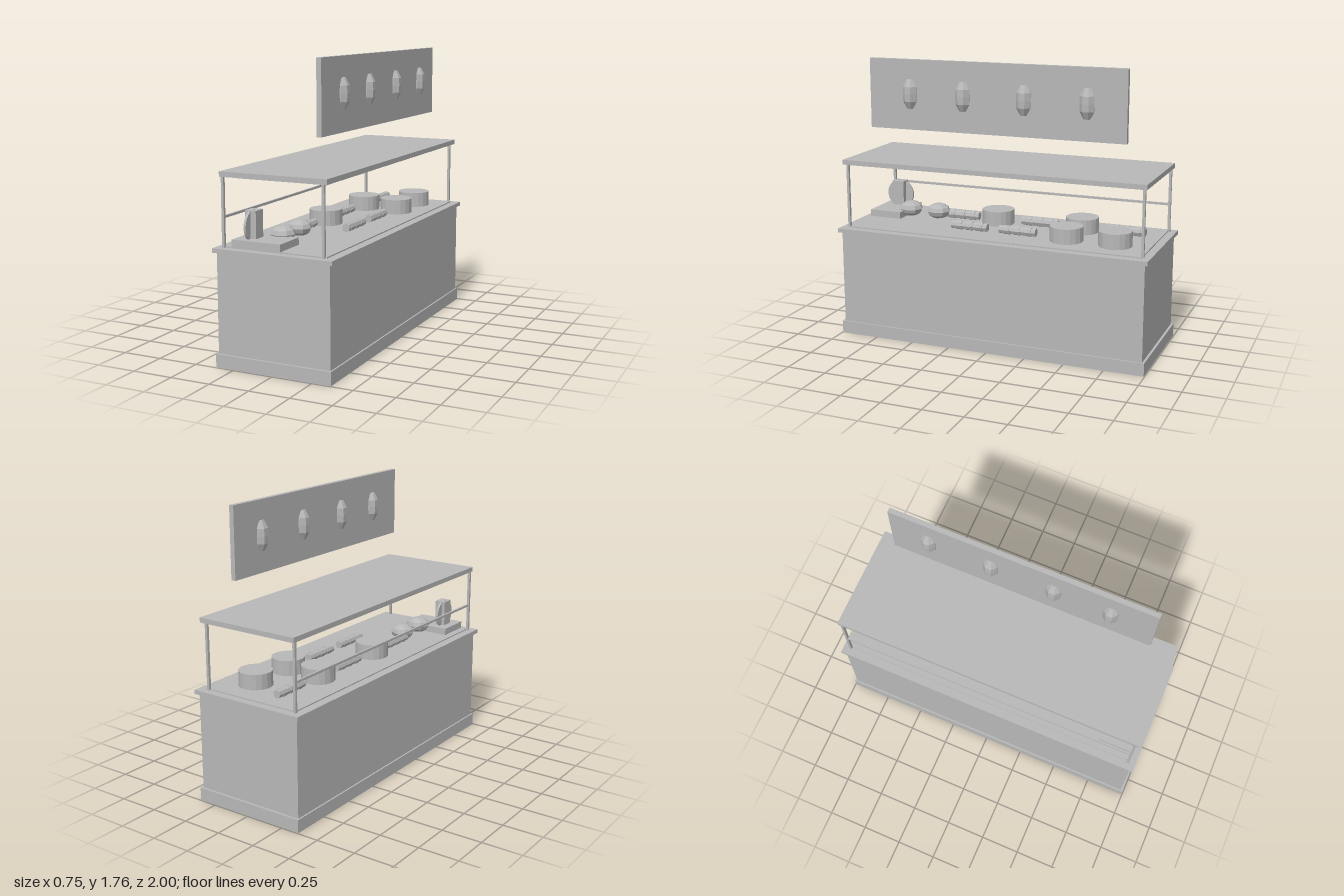
import * as THREE from 'three';

export function createModel() {
  const root = new THREE.Group();
  const grey = new THREE.MeshStandardMaterial({ color: 0xb8b8b8 });

  const add = (name, geometry, x, y, z) => {
    const mesh = new THREE.Mesh(geometry, grey);
    mesh.name = name;
    mesh.position.set(x, y, z);
    root.add(mesh);
    return mesh;
  };
  // Box given by its bottom height and top height
  const box = (name, w, y0, y1, d, x = 0, z = 0) =>
    add(name, new THREE.BoxGeometry(w, y1 - y0, d), x, (y0 + y1) / 2, z);
  // Faceted version of a geometry
  const faceted = (geometry) => {
    const g = geometry.toNonIndexed();
    g.computeVertexNormals();
    return g;
  };

  // Counter
  box('plinth', 0.73, 0, 0.08, 1.99);
  box('counterBody', 0.71, 0.08, 0.67, 1.96);
  box('counterTop', 0.75, 0.67, 0.695, 2);
  box('displayTray', 0.64, 0.695, 0.702, 1.9);

  // Canopy on four posts, with a light panel below and a side rail
  box('canopy', 0.67, 1.1, 1.13, 1.95);
  box('lightPanel', 0.52, 1.085, 1.1, 1.8);
  for (const x of [-0.324, 0.304])
    for (const z of [-0.953, 0.953]) box('post', 0.016, 0.695, 1.1, 0.016, x, z);
  box('sideRail', 0.012, 0.863, 0.877, 1.9, -0.324, 0);

  // Hanging sign with lanterns through it
  box('signBoard', 0.03, 1.33, 1.76, 1.64, 0.21, 0);
  const lantern = new THREE.LatheGeometry(
    [[0, -0.09], [0.028, -0.09], [0.052, -0.045], [0.054, 0], [0.052, 0.045], [0.028, 0.09], [0, 0.09]]
      .map(([r, y]) => new THREE.Vector2(r, y)), 8);
  lantern.rotateY(Math.PI / 8).scale(1, 1, 0.91);
  for (const z of [0.55, 0.2, -0.19, -0.58]) add('lantern', faceted(lantern), 0.21, 1.55, z);

  // Cutting board with slicer
  box('cuttingBoard', 0.31, 0.695, 0.745, 0.215, -0.12, 0.843);
  box('slicerBody', 0.07, 0.745, 0.905, 0.08, -0.19, 0.845);
  const blade = add('slicerBlade', new THREE.CylinderGeometry(0.093, 0.093, 0.014, 24), -0.197, 0.815, 0.845);
  blade.rotation.z = Math.PI / 2;

  // Round loaves
  const loaf = new THREE.SphereGeometry(0.076, 8, 6).scale(1, 0.66, 1);
  for (const z of [0.71, 0.512]) add('loaf', faceted(loaf), -0.08, 0.752, z);

  // Cooking pots
  const pot = new THREE.CylinderGeometry(0.102, 0.102, 0.093, 18);
  for (const [x, z] of [[0.132, -0.74], [0.132, -0.435], [-0.11, -0.458], [-0.11, 0.105]])
    add('pot', faceted(pot), x, 0.7485, z);

  // Banded rolls lying lengthwise in two rows
  const roll = new THREE.CylinderGeometry(0.025, 0.025, 0.24, 8).rotateX(Math.PI / 2);
  const band = new THREE.CylinderGeometry(0.028, 0.028, 0.04, 8).rotateX(Math.PI / 2);
  for (const [x, z] of [[0.13, 0.2], [0.13, -0.12], [-0.12, 0.36], [-0.12, -0.175], [-0.12, -0.74]]) {
    add('roll', faceted(roll), x, 0.73, z);
    for (const dz of [-0.07, 0, 0.07]) add('rollBand', faceted(band), x, 0.73, z + dz);
  }
  return root;
}
